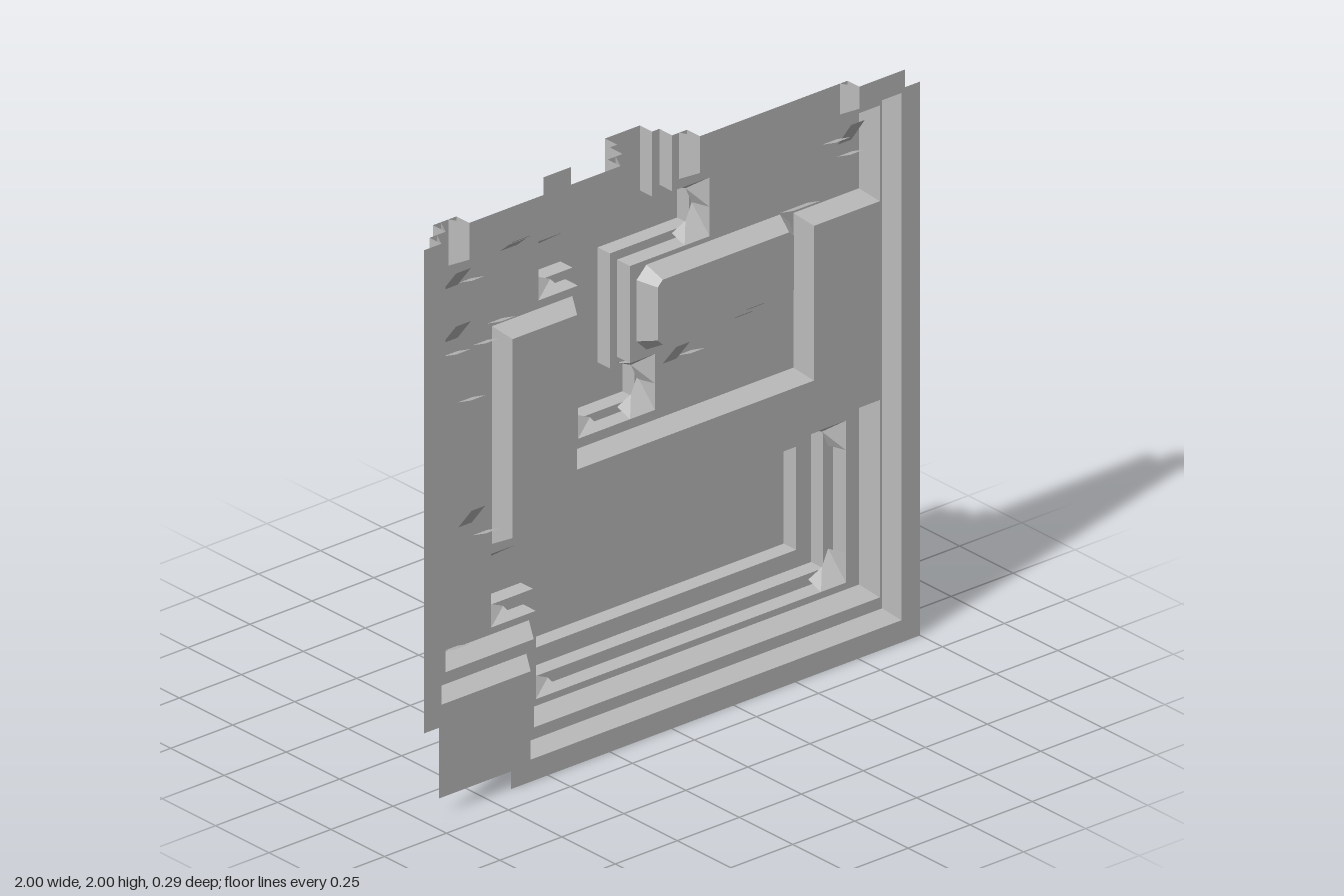
import * as THREE from 'three';

// Floor heights, from the rim down to the deepest pit
const Z = [0.145, 0.09, 0.03, -0.03, -0.087, -0.145];
const TOP = 1.94;

// Moves a path to its left by d with mitred corners
function inset(path, d, closed = false) {
  const n = path.length;
  const normal = (a, b) => {
    const l = Math.hypot(b[0] - a[0], b[1] - a[1]);
    return [-(b[1] - a[1]) / l, (b[0] - a[0]) / l];
  };
  return path.map((p, i) => {
    const prev = i > 0 ? path[i - 1] : closed ? path[n - 1] : null;
    const next = i < n - 1 ? path[i + 1] : closed ? path[0] : null;
    const n1 = prev ? normal(prev, p) : normal(p, next);
    const n2 = next ? normal(p, next) : n1;
    const k = d / (1 + n1[0] * n2[0] + n1[1] * n2[1]);
    return [p[0] + (n1[0] + n2[0]) * k, p[1] + (n1[1] + n2[1]) * k];
  });
}

export function createModel() {
  const group = new THREE.Group();
  const stone = new THREE.MeshStandardMaterial({ color: 0xbcbcbc, side: THREE.DoubleSide, flatShading: true });
  stone.name = 'stone grey';

  const add = (name, geometry) => {
    const mesh = new THREE.Mesh(geometry, stone);
    mesh.name = name;
    group.add(mesh);
  };
  const vecs = (path) => path.map(([x, y]) => new THREE.Vector2(x, y));

  // Flat floor at height z
  const sheet = (name, path, z, holes = []) => {
    const shape = new THREE.Shape(vecs(path));
    for (const h of holes) shape.holes.push(new THREE.Path(vecs(h)));
    add(name, new THREE.ShapeGeometry(shape).translate(0, 0, z));
  };

  // Strip of quads between two matching paths
  const strip = (name, a, za, b, zb, closed = false) => {
    const pos = [];
    const count = closed ? a.length : a.length - 1;
    for (let i = 0; i < count; i++) {
      const j = (i + 1) % a.length;
      const A = [...a[i], za], B = [...a[j], za], C = [...b[j], zb], D = [...b[i], zb];
      pos.push(...A, ...B, ...C, ...A, ...C, ...D);
    }
    const g = new THREE.BufferGeometry();
    g.setAttribute('position', new THREE.Float32BufferAttribute(pos, 3));
    g.computeVertexNormals();
    add(name, g);
  };

  // Upright wall, with an optional sloped face in front of it
  const step = (name, path, level, slope = 0, closed = false) => {
    strip(name + 'Wall', path, Z[level], path, Z[level + 1], closed);
    if (slope) strip(name + 'Slope', path, Z[level], inset(path, slope, closed), Z[level + 1], closed);
  };

  // Sloped fillets in the inner corners of a pit
  const fillets = (name, path, closed) => {
    const n = path.length;
    for (let i = closed ? 0 : 1; i < (closed ? n : n - 1); i++) {
      const p = path[i], a = path[(i + n - 1) % n], b = path[(i + 1) % n];
      const cross = (p[0] - a[0]) * (b[1] - p[1]) - (p[1] - a[1]) * (b[0] - p[0]);
      if (cross < 0) continue;
      const dir = (q) => {
        const l = Math.hypot(q[0] - p[0], q[1] - p[1]);
        return [(q[0] - p[0]) / l, (q[1] - p[1]) / l];
      };
      const u = dir(a), v = dir(b);
      const at = (s, t) => [p[0] + u[0] * s + v[0] * t, p[1] + u[1] * s + v[1] * t];
      strip(name, [at(0.1, 0), p, at(0, 0.1)], Z[2], [at(0.1, 0.02), at(0.045, 0.045), at(0.02, 0.1)], Z[3]);
    }
  };

  // Contours; the lower side is always on the left
  const outline = [[-1, TOP], [-1, 0.3], [-0.94, 0.3], [-0.94, 0.06], [-0.65, 0.06], [-0.65, 0],
    [1, 0], [1, 1.88], [0.94, 1.88], [0.94, TOP]];
  const rimEdge = [[-0.93, TOP], [-0.93, 0.375], [-0.57, 0.375], [-0.57, 0.075], [0.925, 0.075],
    [0.925, 1.865], [0.755, 1.865], [0.755, TOP]];
  const ledgeEdge = [[-0.865, TOP], [-0.865, 0.445], [-0.51, 0.445], [-0.51, 0.145], [0.885, 0.145],
    [0.885, 0.815], [-0.595, 0.815], [-0.595, 1.49], [-0.335, 1.49], [-0.335, 0.965], [0.62, 0.965],
    [0.62, 1.49], [0.885, 1.49], [0.885, 1.815], [0.16, 1.815], [0.16, TOP]];
  const plateauEdge = [[-0.16, TOP], [-0.16, 1.815], [-0.77, 1.815], [-0.77, TOP]];
  const blockEdge = [[-0.01, 1.3], [-0.01, 1.48], [0.01, 1.5], [0.52, 1.5], [0.54, 1.48],
    [0.54, 1.3], [0.52, 1.28], [0.01, 1.28]];
  const trench = [[-0.1, TOP], [-0.1, 1.75], [-0.44, 1.75], [-0.44, 1.55], [-0.28, 1.55], [-0.28, 1.03],
    [0.03, 1.03], [0.03, 1.22], [-0.07, 1.22], [-0.07, 1.55], [0.25, 1.55], [0.25, 1.75], [0.1, 1.75], [0.1, TOP]];
  const trenchInner = inset(trench, 0.03);
  const pit = [[-0.63, 0.75], [-0.63, 0.5], [-0.45, 0.5], [-0.45, 0.2], [0.8, 0.2], [0.8, 0.75]];
  const pitMiddle = inset(pit, 0.04, true);
  const pitInner = [[-0.35, 0.65], [-0.35, 0.3], [0.7, 0.3], [0.7, 0.65]];
  const back = (path) => [...path].reverse();

  // Rim, ledge and raised areas
  sheet('rim', [...back(rimEdge), ...outline], Z[0]);
  step('rim', rimEdge, 0, 0.03);
  sheet('ledge', [...rimEdge, ...back(ledgeEdge)], Z[1]);
  step('ledge', ledgeEdge, 1, 0.032);
  sheet('plateau', [...plateauEdge, [-0.47, TOP], [-0.47, 2], [-0.36, 2], [-0.36, TOP]], Z[1]);
  step('plateau', plateauEdge, 1, 0.032);
  sheet('block', blockEdge, Z[1]);
  step('block', blockEdge, 1, 0.034, true);

  // Main floor
  sheet('mainFloor', [...ledgeEdge, ...back(trench), ...plateauEdge], Z[2], [pit, blockEdge]);

  // Trench
  step('trench', trench, 2);
  fillets('trenchFillet', trench, false);
  sheet('trenchShelf', [...trench, ...back(trenchInner)], Z[3]);
  step('trenchInner', trenchInner, 3);
  sheet('trenchFloor', trenchInner, Z[4]);

  // Stepped pit
  step('pit', pit, 2, 0, true);
  fillets('pitFillet', pit, true);
  sheet('pitShelf', pit, Z[3], [pitMiddle]);
  step('pitMiddle', pitMiddle, 3, 0, true);
  sheet('pitLowerShelf', pitMiddle, Z[4], [pitInner]);
  step('pitInner', pitInner, 4, 0, true);
  sheet('pitFloor', pitInner, Z[5]);

  // Small downward-tilted plates: x, y, width, height
  const plates = [[-0.8, 1.75, 0.06, 0.08], [-0.74, 1.73, 0.05, 0.03], [-0.8, 1.57, 0.06, 0.08],
    [-0.8, 1.5, 0.06, 0.03], [-0.68, 1.5, 0.06, 0.03], [-0.62, 1.555, 0.06, 0.03], [-0.74, 1.325, 0.06, 0.03],
    [-0.74, 0.925, 0.055, 0.08], [-0.68, 0.855, 0.06, 0.03], [-0.8, 0.5, 0.06, 0.03], [0.79, 1.745, 0.055, 0.09],
    [0.73, 1.735, 0.06, 0.03], [0.79, 1.675, 0.06, 0.03], [0.585, 1.557, 0.11, 0.03], [0.085, 1.22, 0.055, 0.08],
    [0.145, 1.205, 0.06, 0.03], [-0.565, 1.797, 0.07, 0.055], [0.38, 1.27, 0.07, 0.055]];
  for (const [x, y, w, h] of plates) {
    const row = (s) => [[x - w / 2, y + s * h / 2], [x + w / 2, y + s * h / 2]];
    strip('tiltedPlate', row(-1), Z[2] + 0.005, row(1), Z[1] + 0.008);
  }

  return group;
}
